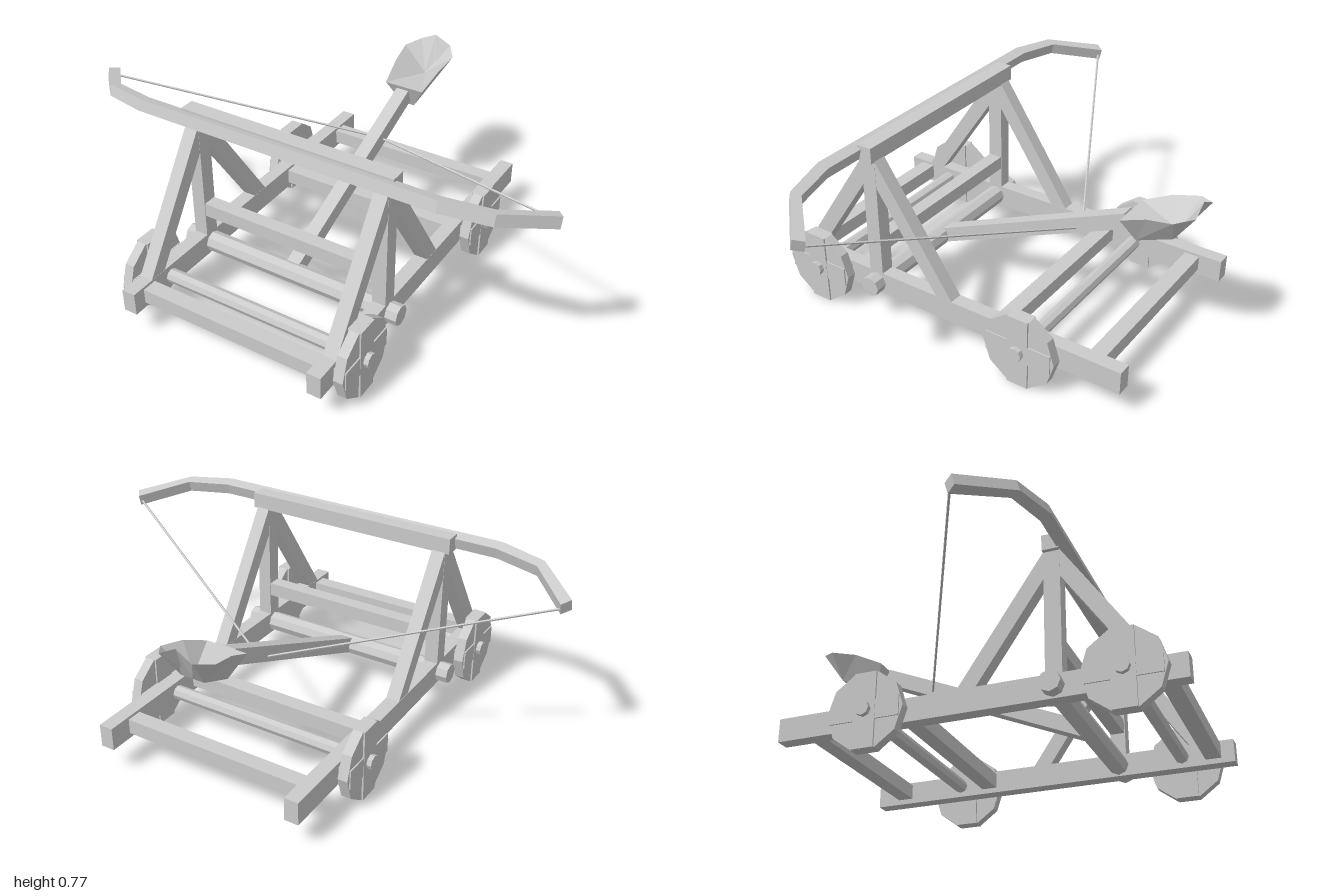
import * as THREE from 'three';

const mat = new THREE.MeshStandardMaterial({ color: 0xcccccc, flatShading: true });
const thin = new THREE.MeshStandardMaterial({ color: 0xcccccc, flatShading: true, side: THREE.DoubleSide });

export function createModel() {
  const root = new THREE.Group();
  root.name = 'catapult';

  const add = (name, geo, x = 0, y = 0, z = 0, parent = root, material = mat) => {
    const m = new THREE.Mesh(geo, material);
    m.name = name;
    m.position.set(x, y, z);
    parent.add(m);
    return m;
  };
  const box = (name, w, h, d, x, y, z, parent) => add(name, new THREE.BoxGeometry(w, h, d), x, y, z, parent);
  // Round bar lying along x
  const bar = (name, r, len, y, z, sides = 8) =>
    add(name, new THREE.CylinderGeometry(r, r, len, sides).rotateZ(Math.PI / 2), 0, y, z);

  const RAIL_X = 0.414, POST_Z = 0.345, AXLE_Y = 0.152;
  const AXLES = [0.608, -0.368];

  // Chassis cross beams and the raised beam between the posts
  for (const z of [0.735, -0.235, -0.636]) box('crossBeam', 0.78, 0.062, 0.064, 0, 0.157, z);
  box('postCrossbar', 0.78, 0.058, 0.058, 0, 0.322, POST_Z);
  box('topBeam', 0.92, 0.065, 0.064, 0, 0.734, POST_Z);

  // Axles and arm pivot
  for (const z of AXLES) bar('axle', 0.029, 1.045, AXLE_Y, z);
  bar('armPivot', 0.042, 0.984, AXLE_Y, 0.343);

  // Side profile of a brace leaning against the post, as (z, y)
  const braceProfile = [[0.72, 0.195], [0.645, 0.195], [0.32, 0.674], [0.32, 0.705], [0.377, 0.705]];
  const braceGeometry = (back) => {
    const pts = braceProfile.map(([z, y]) => new THREE.Vector2(back ? 2 * POST_Z - z : z, y));
    const g = new THREE.ExtrudeGeometry(new THREE.Shape(pts), { depth: 0.056, bevelEnabled: false });
    return g.translate(0, 0, -0.028).rotateY(-Math.PI / 2);
  };

  for (const s of [1, -1]) {
    const side = new THREE.Group();
    side.name = s > 0 ? 'leftSide' : 'rightSide';
    root.add(side);
    box('sideRail', 0.058, 0.095, 1.585, s * RAIL_X, 0.152, 0.028, side);
    box('post', 0.058, 0.52, 0.064, s * RAIL_X, 0.445, POST_Z, side);
    add('frontBrace', braceGeometry(false), s * RAIL_X, 0, 0, side);
    add('rearBrace', braceGeometry(true), s * RAIL_X, 0, 0, side);

    // Ten-sided plank wheels with crossed battens
    for (const z of AXLES) {
      const wheel = new THREE.Group();
      wheel.name = 'wheel';
      wheel.position.set(s * 0.476, AXLE_Y, z);
      side.add(wheel);
      const disc = new THREE.CylinderGeometry(0.155, 0.155, 0.04, 10).rotateZ(Math.PI / 2);
      disc.scale(1, 1.025, 1);
      add('wheelDisc', disc, 0, 0, 0, wheel);
      box('verticalBatten', 0.054, 0.302, 0.09, 0, 0, 0, wheel);
      box('horizontalBatten', 0.051, 0.08, 0.28, 0, 0, 0, wheel);
    }
  }

  // Throwing arm rising to the back
  const ARM_TILT = 0.409;
  box('throwingArm', 0.057, 0.063, 0.96, 0, 0.339, -0.097).rotation.x = ARM_TILT;

  add('scoop', scoopGeometry(), 0, 0, 0, root, thin);

  // Bow: bent outline (x, distance back), extruded and tilted
  const TILT = 0.267;
  const half = [[0.64, 0], [0.83, 0.05], [1.0, 0.222], [0.972, 0.26], [0.815, 0.09], [0.635, 0.048]];
  const outline = [...half, ...half.map(([x, d]) => [-x, d]).reverse()].map(([x, d]) => new THREE.Vector2(x, d));
  const bowGeo = new THREE.ExtrudeGeometry(new THREE.Shape(outline), { depth: 0.047, bevelEnabled: false });
  const bow = add('bow', bowGeo.translate(0, 0, -0.0235), 0, 0.742, 0.411);
  bow.rotation.x = -(Math.PI / 2 + TILT);

  // Bowstring from both tips to the arm
  for (const s of [1, -1]) {
    const path = new THREE.LineCurve3(new THREE.Vector3(s * 0.975, 0.672, 0.175), new THREE.Vector3(0, 0.417, -0.335));
    add('bowstring', new THREE.TubeGeometry(path, 1, 0.005, 5), 0, 0, 0);
  }
  return root;
}

// Faceted hollow scoop: a rim loop joined to a base loop, with an inner fan
function scoopGeometry() {
  const rimHalf = [[0.088, 0.564, -0.537], [0.105, 0.617, -0.652], [0.117, 0.642, -0.76], [0.07, 0.66, -0.825]];
  const front = [0.03, 0.4625, -0.581], back = [0.05, 0.537, -0.74];
  const baseHalf = [front, front, back, back];
  const loop = (h, mid) => [...h, mid, ...h.map(([x, y, z]) => [-x, y, z]).reverse()];
  const rim = loop(rimHalf, [0, 0.696, -0.82]);
  const base = loop(baseHalf, [0, 0.537, -0.74]);
  const inner = [0, 0.548, -0.733], under = [0, 0.5, -0.66];
  const pos = [];
  for (let i = 0; i < rim.length; i++) {
    const j = (i + 1) % rim.length;
    pos.push(...rim[i], ...base[i], ...rim[j]);
    if (base[i] !== base[j]) {
      pos.push(...rim[j], ...base[i], ...base[j]);
      pos.push(...base[j], ...base[i], ...under);
    }
    pos.push(...rim[i], ...rim[j], ...inner);
  }
  const g = new THREE.BufferGeometry();
  g.setAttribute('position', new THREE.Float32BufferAttribute(pos, 3));
  g.computeVertexNormals();
  return g;
}
